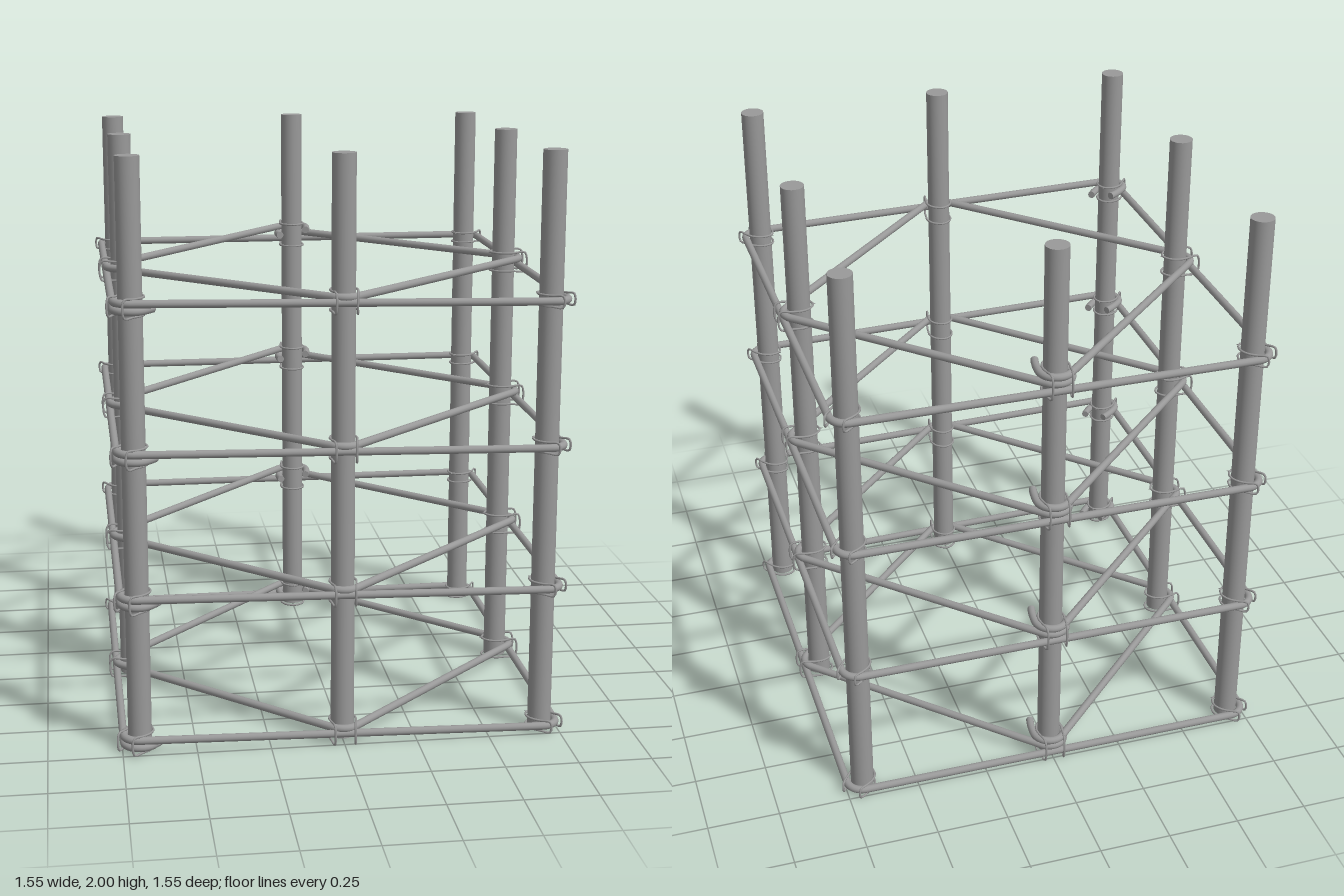
import * as THREE from 'three';

const BAR = 0.69;      // distance of the bars from the centre planes
const BEND = 0.055;    // bend radius of the ties around a bar
const ROD = 0.0135;    // tie rod radius
const LEVELS = [0.005, 0.5, 0.995, 1.49];

const steel = new THREE.MeshStandardMaterial({ color: 0x999999 });

// Curve running straight from point to point, one tube segment per span
class Polyline extends THREE.Curve {
  constructor(points) { super(); this.points = points; }
  getUtoTmapping(u) { return u; }
  getPoint(t, target = new THREE.Vector3()) {
    const f = t * (this.points.length - 1);
    const i = Math.min(Math.floor(f), this.points.length - 2);
    return target.lerpVectors(this.points[i], this.points[i + 1], f - i);
  }
  getTangent(t, target = new THREE.Vector3()) {
    const p = this.points, i = Math.round(t * (p.length - 1));
    target.set(0, 0, 0);
    if (i > 0) target.add(p[i].clone().sub(p[i - 1]).normalize());
    if (i < p.length - 1) target.add(p[i + 1].clone().sub(p[i]).normalize());
    return target.normalize();
  }
}

function addMesh(parent, geometry, name) {
  const mesh = new THREE.Mesh(geometry, steel);
  mesh.name = name;
  parent.add(mesh);
  return mesh;
}

// Bent rod wrapped around a list of bars, with a 135 degree hook at both ends
function makeTie(name, bars, heights, startAngle) {
  const points = [];
  // 'along' runs past the bend on a tangent that curls slightly towards the bar
  const at = (bar, a, y, along = 0) => {
    const r = BEND - 1.7 * along * along;
    return new THREE.Vector3(
      bar[0] + r * Math.cos(a) - along * Math.sin(a), y,
      bar[1] + r * Math.sin(a) + along * Math.cos(a));
  };
  const last = bars.length - 1;
  let angle = startAngle;
  for (const s of [0.05, 0.033, 0.017]) points.push(at(bars[0], angle, heights[0], -s));
  bars.forEach((bar, k) => {
    const sweep = (k === 0 || k === last) ? Math.PI * 0.75 : Math.PI / 2;
    const steps = Math.round(sweep / (Math.PI / 16));
    for (let j = 0; j <= steps; j++) points.push(at(bar, angle + sweep * j / steps, heights[k]));
    angle += sweep;
  });
  for (const s of [0.02, 0.04, 0.06, 0.08]) points.push(at(bars[last], angle, heights[last], s));

  const tie = new THREE.Group();
  tie.name = name;
  const curve = new Polyline(points);
  addMesh(tie, new THREE.TubeGeometry(curve, points.length - 1, ROD, 12), name + 'Rod');
  // flat cut ends
  for (const [end, sign] of [[0, -1], [1, 1]]) {
    const cap = addMesh(tie, new THREE.CircleGeometry(ROD, 12), name + 'End');
    cap.position.copy(curve.getPoint(end));
    cap.quaternion.setFromUnitVectors(new THREE.Vector3(0, 0, 1),
      curve.getTangent(end).multiplyScalar(sign));
  }
  return tie;
}

// Binding wire: round the inner side of the bar above and below the ties,
// joined by two upright strands that cross the ties on the outer side
function makeWireTie([x, z], mid, rise, reach) {
  const wire = new THREE.Group();
  wire.name = 'bindingWire';
  wire.position.set(x, mid, z);
  wire.rotation.y = -Math.atan2(z, x);
  const half = [[reach, 0.035], [0.03, 0.042], [0, 0.045], [-0.032, 0.032], [-0.049, 0]];
  const upper = [...half, ...half.slice(0, -1).reverse().map(([o, l]) => [o, -l])];
  const lower = [...upper].reverse();
  const points = [
    ...upper.map(([o, l]) => new THREE.Vector3(o, rise, l)),
    ...lower.map(([o, l]) => new THREE.Vector3(o, -rise, l)),
  ];
  const loop = new THREE.CatmullRomCurve3(points, true, 'centripetal');
  addMesh(wire, new THREE.TubeGeometry(loop, 64, 0.004, 6, true), 'wireLoop');
  // short twisted tail on the inner side
  const tail = addMesh(wire, new THREE.ConeGeometry(0.004, 0.012, 6), 'wireTail');
  tail.position.set(-0.054, rise, 0);
  tail.rotation.z = Math.PI / 2;
  return wire;
}

export function createModel() {
  const model = new THREE.Group();
  model.name = 'reinforcementCage';

  const corners = [[-BAR, BAR], [-BAR, -BAR], [BAR, -BAR], [BAR, BAR]];
  const middles = [[0, -BAR], [BAR, 0], [0, BAR], [-BAR, 0]];

  // Upright bars
  for (const [x, z] of [...corners, ...middles]) {
    const bar = addMesh(model, new THREE.CylinderGeometry(0.04, 0.04, 1.988, 24), 'verticalBar');
    bar.position.set(x, 1.006, z);
  }

  // Square and diamond ties with their wires, at every level
  for (const y of LEVELS) {
    const level = new THREE.Group();
    level.name = 'tieLevel';
    level.position.y = y;
    level.add(makeTie('squareTie', [...corners, corners[0]],
      [0.02, 0.02, 0.02, 0.02, 0.046], Math.PI / 4));
    level.add(makeTie('diamondTie', [...middles, middles[0]],
      [0.046, 0.044, 0.05, 0.044, 0.07], Math.PI));
    corners.forEach((c, i) => level.add(makeWireTie(c, i ? 0.02 : 0.031, i ? 0.018 : 0.029, 0.067)));
    middles.forEach((m, i) => level.add(makeWireTie(m, i ? 0.034 : 0.043, i ? 0.033 : 0.042, 0.073)));
    model.add(level);
  }
  return model;
}
